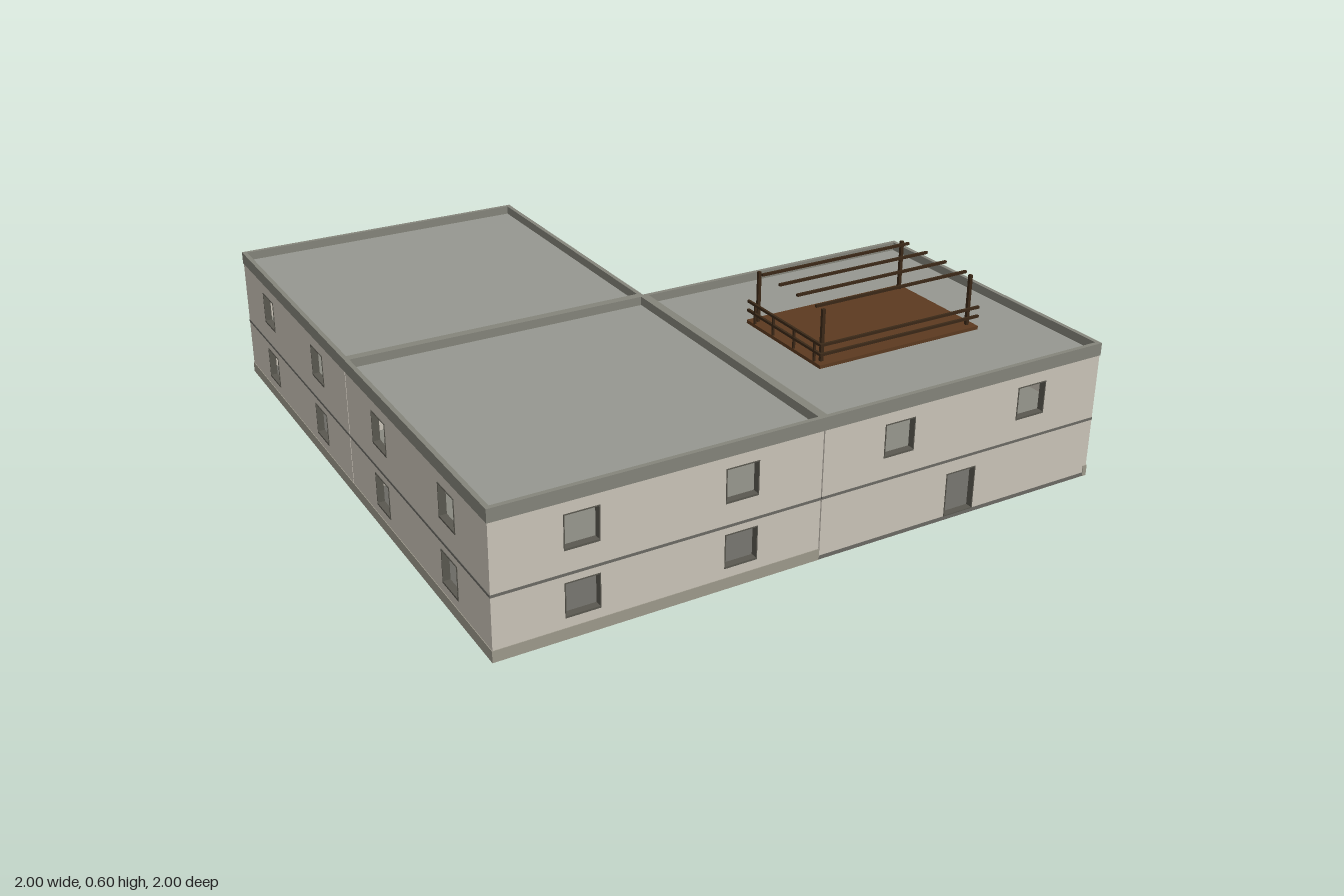
import * as THREE from 'three';

const mat = (color) => new THREE.MeshStandardMaterial({ color, roughness: 0.9 });
const M = {
  wall: mat(0xcbc5b9), trim: mat(0x85857b), roof: mat(0x969790), plinth: mat(0x9e9a8c),
  slab: mat(0x6b6a64), frame: mat(0x5a5850), deck: mat(0x5c3a20), beam: mat(0x3a2817),
  wood: mat(0x9a6535), blue: mat(0x3f78a8), grey: mat(0x88887f),
};

// Box given by its minimum and maximum corners
function box(parent, name, material, x0, x1, y0, y1, z0, z1) {
  const mesh = new THREE.Mesh(new THREE.BoxGeometry(x1 - x0, y1 - y0, z1 - z0), material);
  mesh.position.set((x0 + x1) / 2, (y0 + y1) / 2, (z0 + z1) / 2);
  mesh.name = name;
  parent.add(mesh);
  return mesh;
}

function rect(path, x0, x1, y0, y1) {
  path.moveTo(x0, y0);
  path.lineTo(x1, y0);
  path.lineTo(x1, y1);
  path.lineTo(x0, y1);
  path.closePath();
  return path;
}

// Rectangular plate with rectangular holes, standing in the xy plane
function plate(parent, name, material, outer, holes, depth, z) {
  const shape = rect(new THREE.Shape(), ...outer);
  for (const h of holes) shape.holes.push(rect(new THREE.Path(), ...h));
  const geometry = new THREE.ExtrudeGeometry(shape, { depth, bevelEnabled: false });
  const mesh = new THREE.Mesh(geometry, material);
  mesh.position.z = z;
  mesh.name = name;
  parent.add(mesh);
  return mesh;
}

const OUT = 0.498; // outer wall face, from the block centre
const windowsAt = (y) => [-0.24, 0.24].map((x) => [x - 0.052, x + 0.052, y, y + 0.102]);
const DOOR = [-0.057, 0.049, 0.012, 0.152];

// One side of a block, built facing +z
function side(kind) {
  const g = new THREE.Group();
  g.name = kind + 'Side';
  const holes = [];
  if (kind !== 'inner') holes.push(...windowsAt(0.268));
  if (kind === 'outer') holes.push(...windowsAt(0.068));
  if (kind === 'entrance') holes.push(DOOR);
  plate(g, 'wall', M.wall, [-OUT, OUT, 0.005, 0.405], holes, 0.02, OUT - 0.02);
  if (kind === 'inner') return g;

  // Thin frames lining every opening, and a sill below each window
  for (const [x0, x1, y0, y1] of holes) {
    const t = 0.003;
    plate(g, 'frame', M.frame, [x0, x1, y0, y1],
      [[x0 + t, x1 - t, y0 + t, y1 - t]], 0.022, OUT - 0.02);
    if (y0 > 0.02) box(g, 'sill', M.frame, x0, x1, y0 - 0.003, y0 + 0.002, 0.48, 0.5);
  }
  // Floor band and plinth
  box(g, 'floorBand', M.slab, -OUT, OUT, 0.191, 0.199, 0.485, 0.4995);
  if (kind === 'outer') box(g, 'plinth', M.plinth, -0.5, 0.5, 0, 0.035, 0.485, 0.5);
  return g;
}

// One square wing: sides are listed front, left (+x), back, right (-x)
function block(name, cx, cz, kinds) {
  const g = new THREE.Group();
  g.name = name;
  g.position.set(cx, 0, cz);
  kinds.forEach((kind, i) => {
    const s = side(kind);
    s.rotation.y = i * Math.PI / 2;
    g.add(s);
  });
  box(g, 'groundSlab', M.slab, -0.499, 0.499, 0, 0.012, -0.499, 0.499);
  box(g, 'upperFloor', M.grey, -0.48, 0.48, 0.19, 0.2, -0.48, 0.48);
  box(g, 'roof', M.roof, -0.49, 0.49, 0.404, 0.417, -0.49, 0.49);
  const parapet = plate(g, 'parapet', M.trim, [-0.5, 0.5, -0.5, 0.5],
    [[-0.486, 0.486, -0.486, 0.486]], 0.04, 0);
  parapet.rotation.x = -Math.PI / 2;
  parapet.position.y = 0.405;
  return g;
}

// Roof deck with a pergola and rails on two sides
function roofDeck() {
  const g = new THREE.Group();
  g.name = 'roofDeck';
  const [x0, x1, z0, z1, y] = [0.2, 0.79, 0.3, 0.69, 0.428];
  box(g, 'deckBoards', M.deck, x0, x1, 0.417, y, z0, z1);
  for (const x of [0.223, 0.767])
    for (const z of [0.327, 0.663])
      box(g, 'post', M.beam, x - 0.005, x + 0.005, y, 0.592, z - 0.005, z + 0.005);
  for (const z of [0.355, 0.447, 0.54, 0.635])
    box(g, 'topBeam', M.beam, 0.215, 0.772, 0.588, 0.596, z - 0.004, z + 0.004);
  for (const h of [0.46, 0.49]) {
    box(g, 'frontRail', M.beam, x0, x1, h - 0.004, h + 0.004, z1 - 0.008, z1);
    box(g, 'sideRail', M.beam, x0, x0 + 0.008, h - 0.004, h + 0.004, z0, z1);
  }
  for (const z of [0.34, 0.44, 0.55, 0.655])
    box(g, 'railPost', M.beam, x0, x0 + 0.007, y, 0.49, z - 0.003, z + 0.003);
  return g;
}

// Simple furniture glimpsed through the windows
function bed(parent, x, y, z, cover) {
  const g = new THREE.Group();
  g.name = 'bed';
  g.position.set(x, y, z);
  box(g, 'bedBase', M.wood, -0.06, 0.06, 0, 0.035, -0.1, 0.1);
  box(g, 'mattress', cover, -0.055, 0.055, 0.035, 0.05, -0.095, 0.095);
  parent.add(g);
}

function table(parent, x, y, z) {
  const g = new THREE.Group();
  g.name = 'table';
  g.position.set(x, y, z);
  box(g, 'tableTop', M.wood, -0.07, 0.07, 0.062, 0.072, -0.06, 0.06);
  for (const sx of [-1, 1])
    for (const sz of [-1, 1])
      box(g, 'tableLeg', M.wood, sx * 0.06 - 0.005, sx * 0.06 + 0.005, 0, 0.062,
        sz * 0.05 - 0.005, sz * 0.05 + 0.005);
  parent.add(g);
}

export function createModel() {
  const model = new THREE.Group();
  model.name = 'building';
  model.add(
    block('rearWing', -0.5, -0.5, ['inner', 'outer', 'outer', 'outer']),
    block('cornerWing', -0.5, 0.5, ['outer', 'inner', 'inner', 'outer']),
    block('entranceWing', 0.5, 0.5, ['entrance', 'outer', 'outer', 'inner']),
    roofDeck(),
  );
  const furniture = new THREE.Group();
  furniture.name = 'furniture';
  bed(furniture, -0.88, 0.012, -0.26, M.blue);
  bed(furniture, -0.88, 0.2, -0.26, M.blue);
  bed(furniture, -0.12, 0.2, -0.26, M.wood);
  bed(furniture, 0.14, 0.2, 0.74, M.wood);
  table(furniture, -0.25, 0.012, 0.7);
  table(furniture, 0.4, 0.012, 0.73);
  model.add(furniture);
  return model;
}
